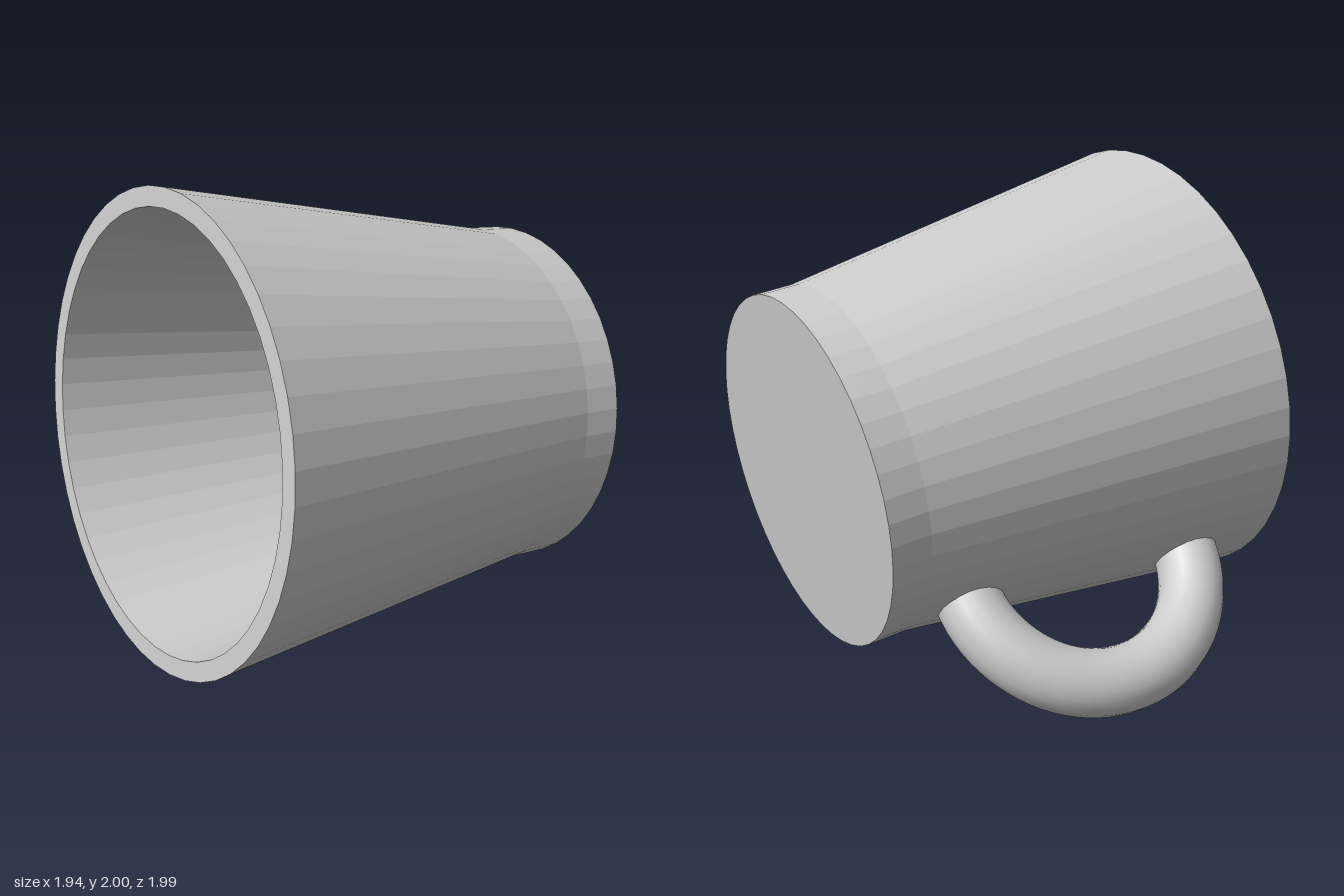
import * as THREE from 'three';

export function createModel() {
  const model = new THREE.Group();
  model.name = 'mug';

  // Cup wall, rim and floor: one closed profile turned about the cup's axis
  const profile = [
    [0, 0], [0.724, 0], [0.726, 0.165], [0.946, 1.705],
    [0.868, 1.705], [0.65, 0.165], [0.645, 0.08], [0, 0.08],
  ].map(([r, t]) => new THREE.Vector2(r, t));
  const cup = new THREE.Mesh(
    new THREE.LatheGeometry(profile, 48),
    new THREE.MeshStandardMaterial({ color: 0xcccccc, flatShading: true })
  );
  cup.name = 'cup';

  // Handle: round tube on an arc whose ends stop inside the cup wall
  const arc = [];
  for (let i = 0; i <= 16; i++) {
    const angle = THREE.MathUtils.degToRad(-94 + (173 * i) / 16);
    arc.push(new THREE.Vector3(0.765 + 0.5 * Math.cos(angle), 0.88 + 0.5 * Math.sin(angle), 0));
  }
  const handle = new THREE.Mesh(
    new THREE.TubeGeometry(new THREE.CatmullRomCurve3(arc), 40, 0.135, 20),
    new THREE.MeshStandardMaterial({ color: 0xcccccc })
  );
  handle.name = 'handle';

  // Lay the mug on its side: axis towards the front, handle down and to its right
  const axis = new THREE.Vector3(-0.155, 0.106, 0.982).normalize();
  const side = new THREE.Vector3(-0.754, -0.657, 0);
  side.addScaledVector(axis, -side.dot(axis)).normalize();
  const third = new THREE.Vector3().crossVectors(side, axis);
  const body = new THREE.Group();
  body.name = 'tiltedMug';
  body.add(cup, handle);
  body.quaternion.setFromRotationMatrix(new THREE.Matrix4().makeBasis(side, axis, third));
  body.position.set(0.25, 0.88, -0.86);

  model.add(body);
  return model;
}
